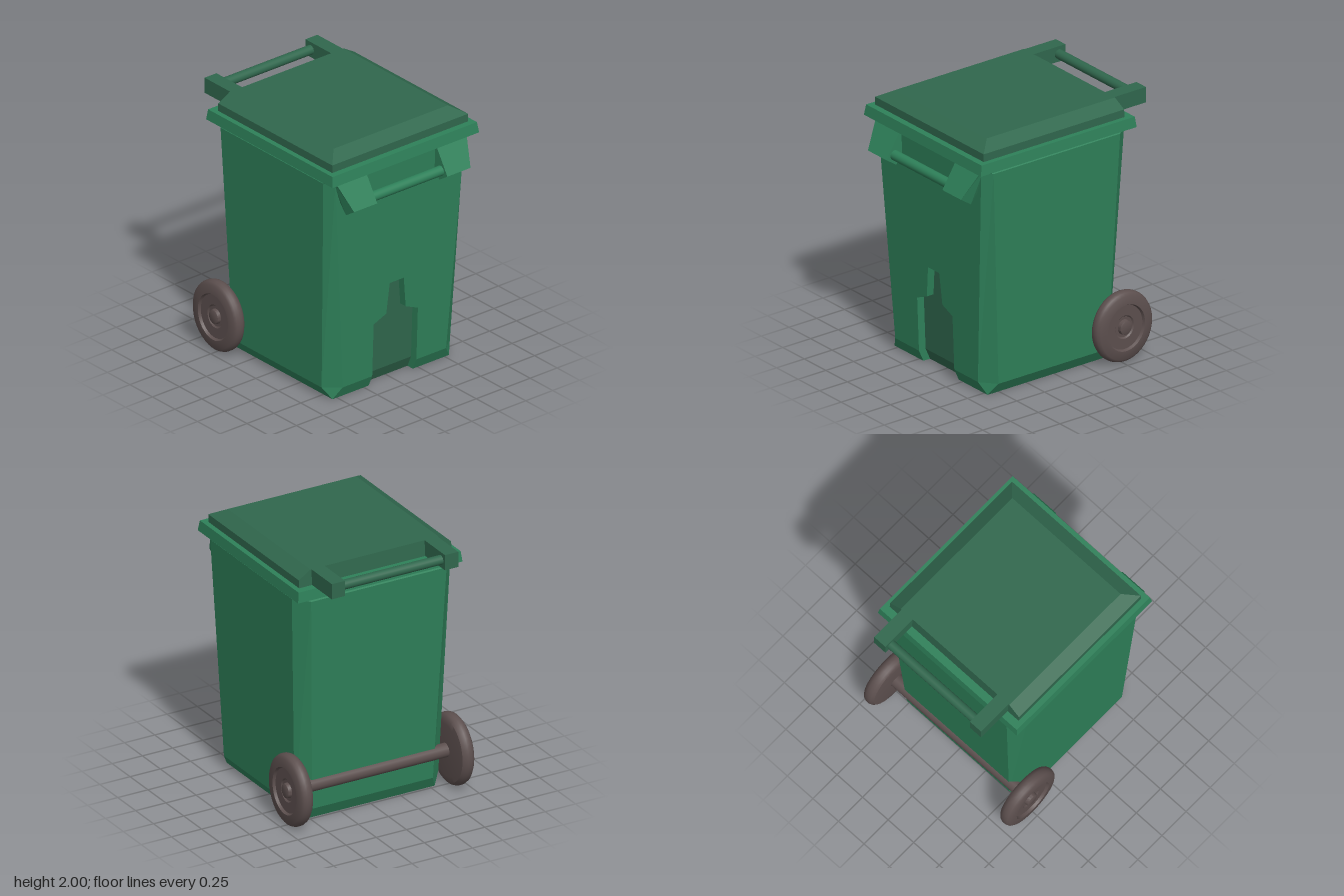
import * as THREE from 'three';
import { toCreasedNormals } from 'three/addons/utils/BufferGeometryUtils.js';

const mat = (color) => new THREE.MeshStandardMaterial({ color, side: THREE.DoubleSide });
const bodyMat = mat(0x2e8059);
const lidMat = mat(0x30674d);
const wheelMat = mat(0x5c4f4e);

function add(parent, name, geometry, material) {
  const mesh = new THREE.Mesh(geometry, material);
  mesh.name = name;
  parent.add(mesh);
  return mesh;
}

// Flat-shaded geometry from a list of quads (four corners, counter-clockwise)
function quads(list) {
  const pos = [];
  for (const [a, b, c, d] of list) pos.push(...a, ...b, ...c, ...a, ...c, ...d);
  const g = new THREE.BufferGeometry();
  g.setAttribute('position', new THREE.Float32BufferAttribute(pos, 3));
  g.computeVertexNormals();
  return g;
}

// Quads between successive rings, leaving out the first side if asked
function loftQuads(rings, skipFirst = false) {
  const list = [];
  for (let k = 0; k + 1 < rings.length; k++) {
    const lo = rings[k], up = rings[k + 1], n = lo.length;
    for (let i = skipFirst ? 1 : 0; i < n; i++) {
      const j = (i + 1) % n;
      list.push([lo[i], lo[j], up[j], up[i]]);
    }
  }
  return list;
}

// Rectangular ring: half width, front z, back z
const rect = (y, w, f, b) => [[-w, y, f], [w, y, f], [w, y, b], [-w, y, b]];

function cappedLoft(rings) {
  const top = rings[rings.length - 1];
  return quads([...loftQuads(rings), [...rings[0]].reverse(), top]);
}

// Polygon in x,y bent onto the surface z = rule(y)
function panel(points, rule) {
  const shape = new THREE.Shape(points.map(([x, y]) => new THREE.Vector2(x, y)));
  const g = new THREE.ShapeGeometry(shape).toNonIndexed();
  const p = g.attributes.position;
  for (let i = 0; i < p.count; i++) p.setZ(i, rule(p.getY(i)));
  g.computeVertexNormals();
  return g;
}

// Chamfered ring: half width, front/back flat half widths, front z, front side z, back side z, back z
const oct = (y, w, cf, cb, f, fs, bs, b) => [
  [-cf, y, f], [cf, y, f], [w, y, fs], [w, y, bs],
  [cb, y, b], [-cb, y, b], [-w, y, bs], [-w, y, fs],
];

const Y1 = 0.09, Y2 = 1.775;
const frontZ = (y) => (y < Y1 ? 0.6 + (0.04 / Y1) * y : 0.64 + (0.065 * (y - Y1)) / (Y2 - Y1));
const DEPTH = 0.06;

function makeBody() {
  const g = new THREE.Group();
  g.name = 'body';
  const rings = [
    oct(0, 0.54, 0.54, 0.54, 0.6, 0.6, -0.48, -0.48),
    oct(Y1, 0.595, 0.48, 0.5, 0.64, 0.545, -0.44, -0.525),
    oct(Y2, 0.655, 0.6, 0.56, 0.705, 0.635, -0.505, -0.615),
    oct(1.8, 0.62, 0.62, 0.58, 0.7, 0.7, -0.57, -0.575),
  ];
  add(g, 'walls', quads(loftQuads(rings, true)), bodyMat);

  // Front wall with a stepped niche open at the foot
  const niche = [[-0.205, Y1], [-0.205, 0.51], [-0.09, 0.56], [-0.065, 0.8],
    [0.065, 0.8], [0.09, 0.56], [0.205, 0.51], [0.205, Y1]];
  const outline = [[-0.48, Y1], ...niche, [0.48, Y1], [0.6, Y2], [-0.6, Y2]];
  add(g, 'frontWall', panel(outline, frontZ), bodyMat);
  add(g, 'frontTopEdge', quads([[rings[2][0], rings[2][1], rings[3][1], rings[3][0]]]), bodyMat);
  for (const s of [-1, 1]) {
    const foot = [[s * 0.205, 0], [s * 0.54, 0], [s * 0.48, Y1], [s * 0.205, Y1]];
    add(g, 'frontFoot', panel(foot, frontZ), bodyMat);
  }

  // Niche back and its side walls
  const inner = (y) => frontZ(y) - DEPTH;
  add(g, 'nicheBack', panel(niche, inner), lidMat);
  add(g, 'nicheFoot', panel([[-0.205, 0], [0.205, 0], [0.205, Y1], [-0.205, Y1]], inner), lidMat);
  const edge = [[-0.205, 0], ...niche, [0.205, 0]];
  const sides = [];
  for (let i = 0; i + 1 < edge.length; i++) {
    const [ax, ay] = edge[i], [bx, by] = edge[i + 1];
    sides.push([[ax, ay, frontZ(ay)], [ax, ay, inner(ay)], [bx, by, inner(by)], [bx, by, frontZ(by)]]);
  }
  add(g, 'nicheSides', quads(sides), bodyMat);

  // Floor, notched by the niche
  const z = 0.6 - DEPTH;
  const floor = [[[-0.54, 0, -0.48], [0.54, 0, -0.48], [0.54, 0, z], [-0.54, 0, z]]];
  for (const [a, b] of [[-0.54, -0.205], [0.205, 0.54]]) {
    floor.push([[a, 0, z], [b, 0, z], [b, 0, 0.6], [a, 0, 0.6]]);
  }
  add(g, 'floor', quads(floor), bodyMat);
  return g;
}

// Bar along x
function bar(parent, name, length, radius, y, z, material) {
  const geo = new THREE.CylinderGeometry(radius, radius, length, 20);
  geo.rotateZ(Math.PI / 2);
  add(parent, name, geo, material).position.set(0, y, z);
}

// Sloping brackets under the front rim with a bar between them
function makeFrontHandle() {
  const g = new THREE.Group();
  g.name = 'frontHandle';
  const profile = new THREE.Shape([[0.69, 1.8], [0.69, 1.625], [0.75, 1.53], [0.84, 1.59], [0.71, 1.8]]
    .map(([z, y]) => new THREE.Vector2(z, y)));
  for (const s of [-1, 1]) {
    const geo = new THREE.ExtrudeGeometry(profile, { depth: 0.22, bevelEnabled: false });
    geo.rotateY(-Math.PI / 2);
    geo.translate(s > 0 ? 0.545 : -0.325, 0, 0);
    // Widen the outer face toward the rim
    const p = geo.attributes.position;
    for (let i = 0; i < p.count; i++) {
      if (Math.abs(p.getX(i)) > 0.5) p.setX(i, s * (0.54 + 0.33 * Math.max(0, p.getY(i) - 1.59)));
    }
    geo.computeVertexNormals();
    add(g, 'handleBracket', geo, bodyMat);
  }
  bar(g, 'handleBar', 0.68, 0.038, 1.61, 0.765, bodyMat);
  return g;
}

function makeLid() {
  const g = new THREE.Group();
  g.name = 'lid';
  add(g, 'lidPanel', cappedLoft([
    rect(1.88, 0.63, 0.705, -0.565), rect(1.94, 0.63, 0.705, -0.56), rect(2, 0.53, 0.6, -0.555),
  ]), lidMat);
  for (const s of [-1, 1]) {
    add(g, 'hingeArm', new THREE.BoxGeometry(0.11, 0.12, 0.3), lidMat).position.set(s * 0.468, 1.94, -0.69);
  }
  bar(g, 'rearBar', 0.86, 0.036, 1.94, -0.782, lidMat);
  return g;
}

// Lathed wheels (slightly oval) on a straight axle
function makeWheels() {
  const g = new THREE.Group();
  g.name = 'wheels';
  const profile = [[0, 0.613], [0.2, 0.613], [0.245, 0.618], [0.265, 0.635], [0.273, 0.655], [0.273, 0.68],
    [0.265, 0.7], [0.245, 0.715], [0.18, 0.72], [0.17, 0.7], [0.09, 0.7], [0.08, 0.69],
    [0.058, 0.69], [0.053, 0.715], [0.042, 0.72], [0, 0.72]];
  let geo = new THREE.LatheGeometry(profile.map(([r, x]) => new THREE.Vector2(r, x)), 40);
  geo.rotateZ(-Math.PI / 2);
  geo.scale(1, 1, 0.93);
  geo = toCreasedNormals(geo, 0.6);
  for (const s of [-1, 1]) {
    const wheel = add(g, s > 0 ? 'leftWheel' : 'rightWheel', geo, wheelMat);
    wheel.position.set(0, 0.278, -0.512);
    if (s < 0) wheel.rotation.y = Math.PI;
  }
  bar(g, 'axle', 1.24, 0.053, 0.278, -0.512, wheelMat);
  return g;
}

export function createModel() {
  const model = new THREE.Group();
  model.name = 'wheeledBin';
  model.add(makeBody());
  add(model, 'rim', cappedLoft([rect(1.8, 0.68, 0.768, -0.635), rect(1.88, 0.67, 0.755, -0.625)]), bodyMat);
  model.add(makeFrontHandle(), makeLid(), makeWheels());
  return model;
}
